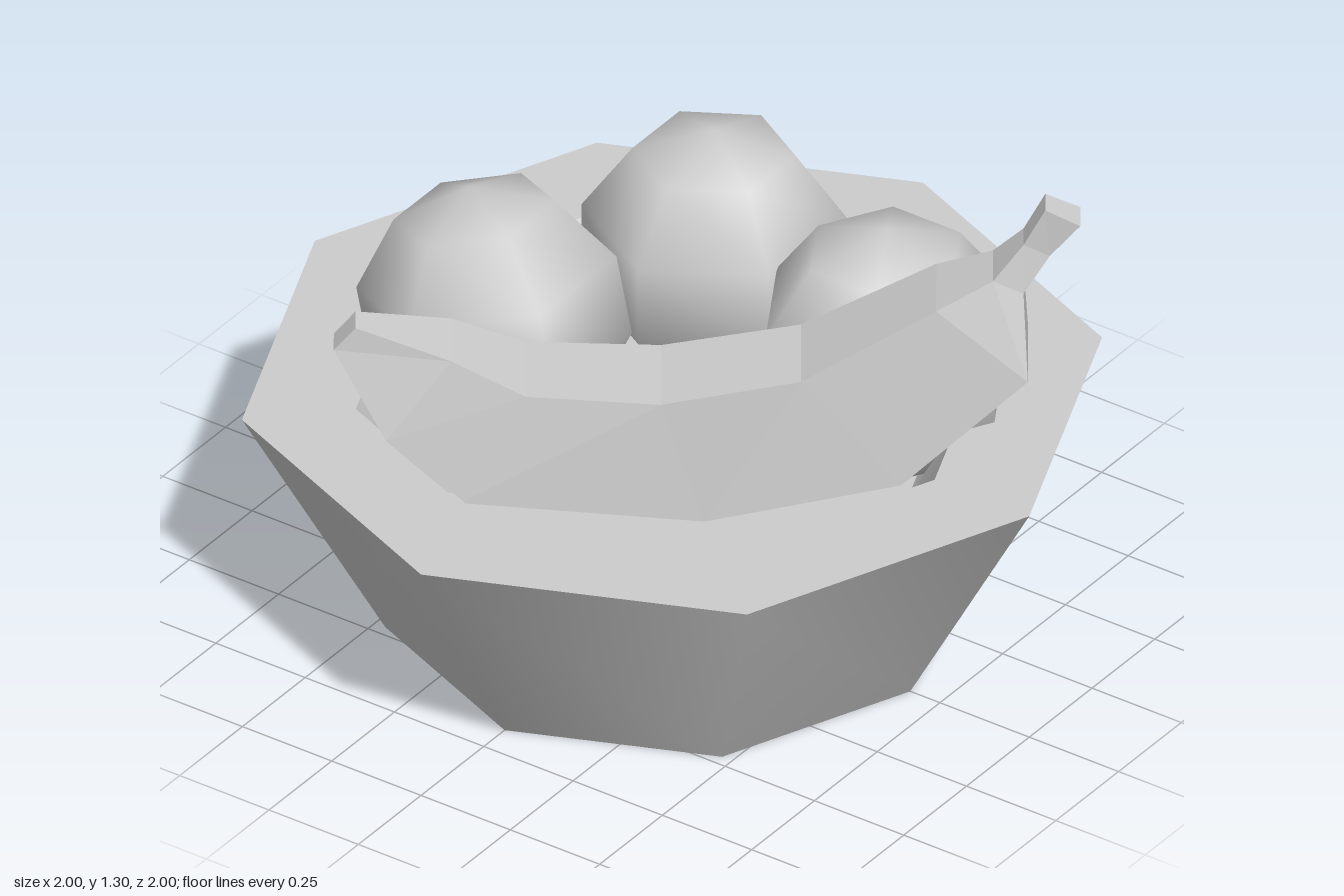
import * as THREE from 'three';
import { toCreasedNormals } from 'three/addons/utils/BufferGeometryUtils.js';

const lightGrey = new THREE.MeshStandardMaterial({ color: 0xcccccc });
lightGrey.name = 'lightGrey';

function addMesh(parent, name, geometry) {
  const mesh = new THREE.Mesh(geometry, lightGrey);
  mesh.name = name;
  parent.add(mesh);
  return mesh;
}

// Eight-sided bowl: base, outer wall, flat rim, inner wall, inner floor
function bowlGeometry() {
  const profile = [[0, 0], [0.667, 0], [1, 0.605], [0.735, 0.605], [0.6, 0.36], [0, 0.36]]
    .map(([r, y]) => new THREE.Vector2(r, y));
  return toCreasedNormals(new THREE.LatheGeometry(profile, 8), 0.9);
}

// Banana: trapezoid sections from the stem (+z) to the tip (-z)
function bananaGeometry() {
  // [top z, top y, top half width, bottom z, bottom y, bottom half width]
  const sections = [
    [0.78, 1.305, 0.035, 0.86, 1.265, 0.04],
    [0.73, 1.21, 0.035, 0.79, 1.18, 0.035],
    [0.66, 1.13, 0.065, 0.73, 1.09, 0.055],
    [0.53, 1.07, 0.1, 0.74, 0.89, 0.12],
    [0.22, 0.89, 0.12, 0.45, 0.63, 0.155],
    [-0.1, 0.83, 0.125, 0, 0.53, 0.155],
    [-0.41, 0.845, 0.115, -0.56, 0.58, 0.155],
    [-0.58, 0.925, 0.09, -0.73, 0.73, 0.125],
    [-0.8, 0.98, 0.035, -0.85, 0.92, 0.035],
  ];
  const positions = [];
  const index = [];
  sections.forEach(([tz, ty, tw, bz, by, bw], i) => {
    positions.push(tw, ty, tz, -tw, ty, tz, -bw, by, bz, bw, by, bz);
    if (i === sections.length - 1) return;
    for (let j = 0; j < 4; j++) {
      const a = i * 4 + j;
      const b = i * 4 + (j + 1) % 4;
      index.push(a, a + 4, b + 4, a, b + 4, b);
    }
  });
  const last = (sections.length - 1) * 4;
  index.push(0, 1, 2, 0, 2, 3);
  index.push(last, last + 2, last + 1, last, last + 3, last + 2);

  const indexed = new THREE.BufferGeometry();
  indexed.setAttribute('position', new THREE.Float32BufferAttribute(positions, 3));
  indexed.setIndex(index);
  const geometry = indexed.toNonIndexed();
  geometry.computeVertexNormals();
  return geometry;
}

export function createModel() {
  const model = new THREE.Group();
  model.name = 'fruitBowl';

  addMesh(model, 'bowl', bowlGeometry());

  // Three round fruits, six-sided and smooth
  const fruitGeometry = new THREE.SphereGeometry(0.32, 6, 5);
  const fruits = [
    ['frontFruit', [0.275, 0.7, 0.405], [0, Math.PI / 6, 0]],
    ['sideFruit', [0.388, 0.7, -0.155], [0, 0, 0]],
    ['backFruit', [-0.168, 0.74, -0.38], [-0.22, 0, 0]],
  ];
  for (const [name, position, rotation] of fruits) {
    const fruit = addMesh(model, name, fruitGeometry);
    fruit.position.set(...position);
    fruit.rotation.set(...rotation);
  }

  // Banana lying diagonally across the bowl
  const banana = addMesh(model, 'banana', bananaGeometry());
  banana.position.set(-0.225, 0, 0.25);
  banana.rotation.y = 0.61;

  return model;
}
